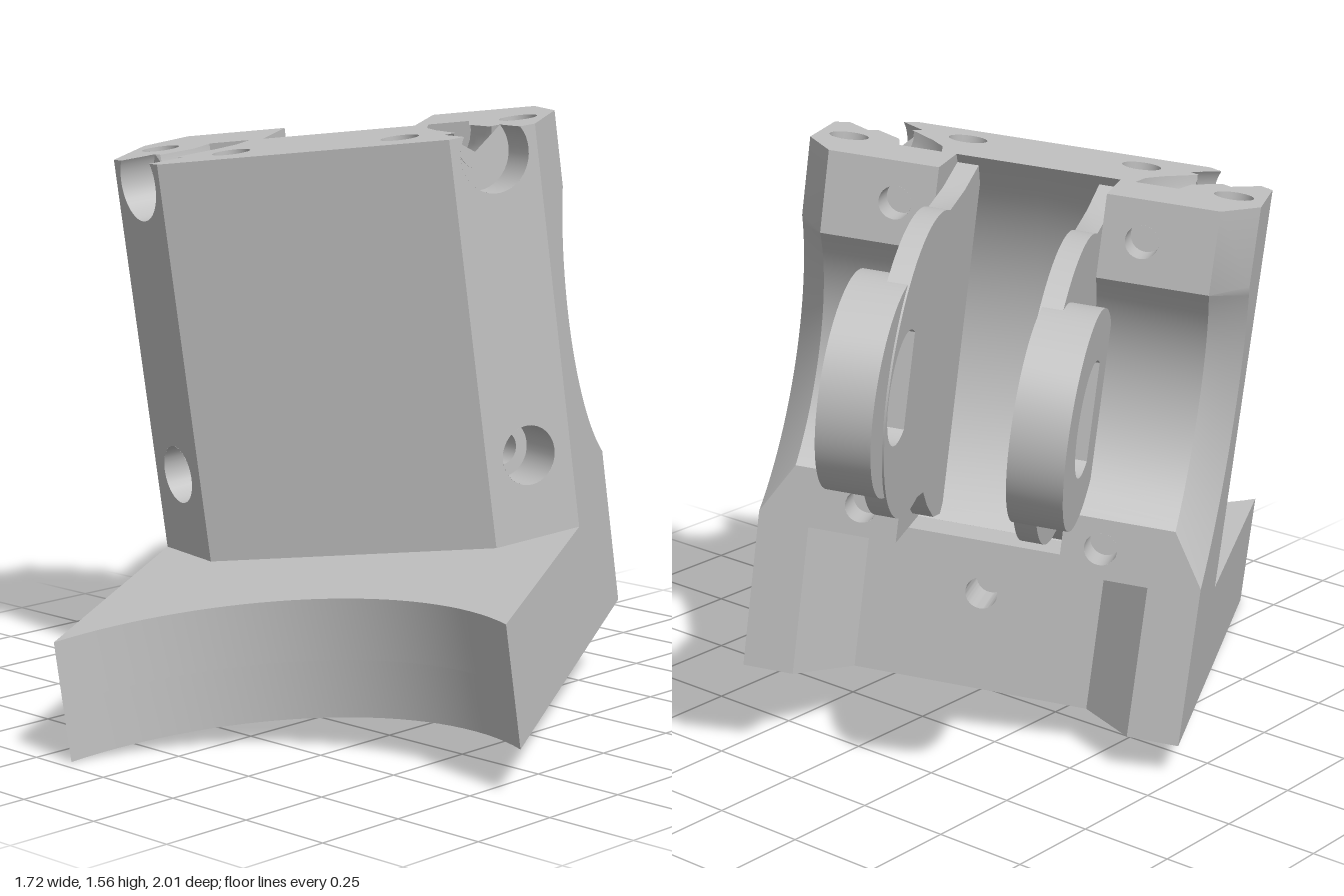
import * as THREE from 'three';
import { toCreasedNormals } from 'three/addons/utils/BufferGeometryUtils.js';

// Local frame: x = width, y = height, z = depth (front face of the base at z = 0).
const TOP = 1.373, LEDGE = 0.4, BASE = 0.31, SIDE = 0.5725, BACK = -1.23;
const CUT = { z: -1.535, y: 0.86 };
const metal = new THREE.MeshStandardMaterial({ color: 0xc0c0c0, side: THREE.DoubleSide });
metal.name = 'grey metal';

function add(parent, name, geometry) {
  const mesh = new THREE.Mesh(geometry, metal);
  mesh.name = name;
  parent.add(mesh);
  return mesh;
}
const polygon = pts => new THREE.Shape(pts.map(([x, y]) => new THREE.Vector2(x, y)));
const plan = pts => polygon(pts.map(([x, z]) => [x, -z]));
function circleHole(x, y, r) {
  const p = new THREE.Path();
  p.absarc(x, y, r, 0, Math.PI * 2, true);
  return p;
}
const extrude = (shape, depth) => toCreasedNormals(
  new THREE.ExtrudeGeometry(shape, { depth, bevelEnabled: false, curveSegments: 32 }), 0.5);
const slab = (shape, y0, y1) => extrude(shape, y1 - y0).rotateX(-Math.PI / 2).translate(0, y0, 0);
const sideSlab = (shape, x0, x1) => extrude(shape, x1 - x0).rotateY(Math.PI / 2).translate(x0, 0, 0);

// Arc of the cylindrical cut, from depth z0 at the bottom to z1 at the top
function cutArc(r, z0, z1, n = 28) {
  const t0 = -Math.acos((z0 - CUT.z) / r), t1 = Math.acos((z1 - CUT.z) / r);
  return Array.from({ length: n + 1 }, (_, i) => {
    const t = t0 + (t1 - t0) * i / n;
    return [CUT.z + r * Math.cos(t), CUT.y + r * Math.sin(t)];
  });
}

// Back of the body: cross-sections joined from the outer side to the centre
function backSurface() {
  const sections = [
    [SIDE, 0.535, BACK, -1.1, -1.05], [0.49, 0.43, BACK, BACK, -1.05],
    [0.21, 0.43, BACK, BACK, -1.05], [0.21, 0.72, -0.981, -1.03, -0.9], [0, 0.72, -0.981, -1.03, -0.9],
  ].map(([x, r, z0, z1, zin]) =>
    [[zin, LEDGE], [z0, LEDGE], ...cutArc(r, z0, z1), [z1, TOP]].map(([z, y]) => [x, y, z]));
  const pos = [];
  for (let i = 0; i < sections.length - 1; i++) {
    const s = sections[i], t = sections[i + 1];
    for (let j = 0; j < s.length - 1; j++) {
      if (i === 1 && (j === 1 || j === s.length - 2)) continue; // drilled pads go here
      pos.push(...s[j], ...t[j], ...t[j + 1], ...s[j], ...t[j + 1], ...s[j + 1]);
    }
  }
  const g = new THREE.BufferGeometry();
  g.setAttribute('position', new THREE.Float32BufferAttribute(pos, 3));
  return toCreasedNormals(g, 0.4);
}

// Blind round hole going in along -z from the origin
function bore(parent, name, r, depth, start = 0, sweep = Math.PI * 2) {
  const g = new THREE.Group();
  g.name = name;
  add(g, 'boreWall', new THREE.CylinderGeometry(r, r, depth, 28, 1, true, start, sweep)
    .rotateX(Math.PI / 2).translate(0, 0, -depth / 2));
  add(g, 'boreEnd', new THREE.CircleGeometry(r, 28, start - Math.PI / 2, sweep).translate(0, 0, -depth));
  parent.add(g);
  return g;
}

// Angled corner face with its two fixing holes
function cornerFace(parent) {
  const g = new THREE.Group();
  g.name = 'cornerFace';
  const h = 0.1265, phi = 0.607, dx = 0.1 * Math.cos(phi);
  const face = polygon([[-h, LEDGE], [h, LEDGE], [h, TOP], [dx, TOP]]);
  face.absarc(0, 1.316, 0.1, phi, Math.PI - phi, true);
  face.lineTo(-h, TOP);
  face.holes.push(circleHole(0, 0.53, 0.078));
  add(g, 'cornerPlate', new THREE.ShapeGeometry(face, 28));
  bore(g, 'upperCounterbore', 0.1, 0.1, -(Math.PI / 2 + phi), Math.PI + 2 * phi).position.y = 1.316;
  const low = new THREE.Group();
  low.name = 'lowerHole';
  low.position.y = 0.53;
  add(low, 'counterboreWall', new THREE.CylinderGeometry(0.078, 0.078, 0.14, 28, 1, true)
    .rotateX(Math.PI / 2).translate(0, 0, -0.07));
  add(low, 'counterboreStep', new THREE.RingGeometry(0.045, 0.078, 28).translate(0, 0, -0.14));
  bore(low, 'innerBore', 0.045, 0.08).position.z = -0.14;
  g.add(low);
  g.position.set(0.48125, 0, -0.7725);
  g.rotation.y = Math.atan2(0.175, 0.1825);
  parent.add(g);
}

// Everything that is mirrored left and right
function halfBody() {
  const g = new THREE.Group();
  add(g, 'backCut', backSurface());
  add(g, 'sideFace', new THREE.ShapeGeometry(polygon(
    [[-0.86, LEDGE], [BACK, LEDGE], ...cutArc(0.535, BACK, -1.1), [-1.1, TOP], [-0.86, TOP]]
      .map(([z, y]) => [-z, y]))).rotateY(Math.PI / 2).translate(SIDE, 0, 0));
  add(g, 'frontFace', new THREE.PlaneGeometry(0.39, TOP - LEDGE).translate(0.195, (TOP + LEDGE) / 2, -0.685));
  cornerFace(g);

  // Top face with the curved groove and two holes
  const top = plan([[0, -0.685], [0.39, -0.685], [0.422, -0.716], [0.353, -0.788], [0.376, -0.81],
    [0.30, -0.90], [0.262, -0.96], [0.248, -1.03], [0.358, -1.03], [0.378, -0.95], [0.448, -0.88],
    [0.471, -0.901], [0.54, -0.829], [SIDE, -0.86], [SIDE, -1.1], [0.49, BACK], [0.21, BACK],
    [0.21, -1.03], [0, -1.03]]);
  for (const [x, z] of [[0.494, -1.012], [0.228, -0.81]]) {
    top.holes.push(circleHole(x, -z, 0.05));
    const b = bore(g, 'topHole', 0.05, 0.12);
    b.rotation.x = -Math.PI / 2;
    b.position.set(x, TOP, z);
  }
  add(g, 'topFace', new THREE.ShapeGeometry(top, 24).rotateX(-Math.PI / 2).translate(0, TOP, 0));
  // Half-round groove floor, open at the top
  const path = new THREE.QuadraticBezierCurve3(new THREE.Vector3(0.412, 0, -0.845),
    new THREE.Vector3(0.32, 0, -0.93), new THREE.Vector3(0.303, 0, -1.03));
  const groove = new THREE.PlaneGeometry(1, 1, 12, 12), p = groove.attributes.position;
  for (let i = 0; i < p.count; i++) {
    const c = path.getPoint(p.getX(i) + 0.5), d = path.getTangent(p.getX(i) + 0.5);
    const t = Math.PI * (p.getY(i) + 0.5), s = 0.058 * Math.cos(t);
    p.setXYZ(i, c.x - d.z * s, TOP - 0.1 * Math.sin(t), c.z + d.x * s);
  }
  groove.computeVertexNormals();
  add(g, 'topGroove', groove);
  add(g, 'grooveEnd', new THREE.PlaneGeometry(0.116, 0.1).translate(0.303, TOP - 0.05, -1.03));

  // Drilled clamp pads above and below the cut
  for (const [y0, y1] of [[LEDGE, 0.5569], [1.1631, TOP]]) {
    const pad = polygon([[0.21, y0], [0.49, y0], [0.49, y1], [0.21, y1]]), y = (y0 + y1) / 2;
    pad.holes.push(circleHole(0.31, y, 0.042));
    add(g, 'clampPad', new THREE.ShapeGeometry(pad, 20).translate(0, 0, BACK));
    const b = bore(g, 'padHole', 0.042, 0.09);
    b.rotation.y = Math.PI;
    b.position.set(0.31, y, BACK);
  }

  // Arm: round plate flaring into the slot, with a thick D-shaped lug
  const lugY = 0.917;
  const dHole = new THREE.Path();
  dHole.absarc(1.63, lugY, 0.14, 2.094, -2.094, true);
  dHole.closePath();
  const plate = polygon([[0.95, 0.41], [1.06, 0.43], [1.16, 0.49], [1.23, 0.545]]);
  plate.absarc(1.4, 0.92, 0.38, -1.83, 1.83, false);
  plate.lineTo(1.15, 1.31);
  plate.lineTo(0.96, 1.36);
  plate.holes.push(dHole);
  add(g, 'armPlate', sideSlab(plate, 0.155, 0.21));
  const lug = new THREE.Shape();
  lug.absarc(1.635, lugY, 0.265, -2.318, 2.318, false);
  lug.closePath();
  lug.holes.push(dHole);
  add(g, 'armLug', sideSlab(lug, 0.16, 0.293));
  return g;
}

export function createModel() {
  const body = new THREE.Group();
  body.name = 'bracket';

  // Base with a concave front and a tapered pocket at the back
  const pocket = [[SIDE, BACK], [0.44, BACK], [0.31, -1.09], [0.31, -0.95],
    [-0.31, -0.95], [-0.31, -1.09], [-0.44, BACK], [-SIDE, BACK]];
  const R = 0.718, half = Math.asin(SIDE / R), cz = R * Math.cos(half);
  const arc = Array.from({ length: 33 }, (_, i) => {
    const t = -half + 2 * half * i / 32;
    return [R * Math.sin(t), cz - R * Math.cos(t)];
  });
  const lower = plan([...arc, ...pocket]);
  lower.holes.push(circleHole(0, 0.51, 0.09));
  add(body, 'baseLower', slab(lower, 0, 0.15));
  add(body, 'baseUpper', slab(plan([...arc, ...pocket]), 0.15, BASE));
  add(body, 'neck', slab(plan([[-SIDE, -0.86], [-0.39, -0.685], [0.39, -0.685], [SIDE, -0.86], ...pocket]), BASE, LEDGE));
  const floor = polygon([[-0.31, 0], [0.31, 0], [0.31, LEDGE], [-0.31, LEDGE]]);
  floor.holes.push(circleHole(0, 0.26, 0.042));
  add(body, 'pocketFloor', extrude(floor, 0.14).translate(0, 0, -1.09));

  const left = halfBody();
  left.name = 'leftHalf';
  const right = left.clone();
  right.name = 'rightHalf';
  right.scale.x = -1;
  body.add(left, right);

  // Tilted resting pose
  const u = new THREE.Vector3(0.878, 0.105, -0.467).normalize();
  const w = new THREE.Vector3().crossVectors(u, new THREE.Vector3(-0.0605, 0.992, 0.109)).normalize();
  const v = new THREE.Vector3().crossVectors(w, u);
  body.quaternion.setFromRotationMatrix(new THREE.Matrix4().makeBasis(u, v, w));
  body.position.set(0.3475, 0.061, 0.7);
  const model = new THREE.Group();
  model.name = 'clampBracket';
  model.add(body);
  return model;
}
